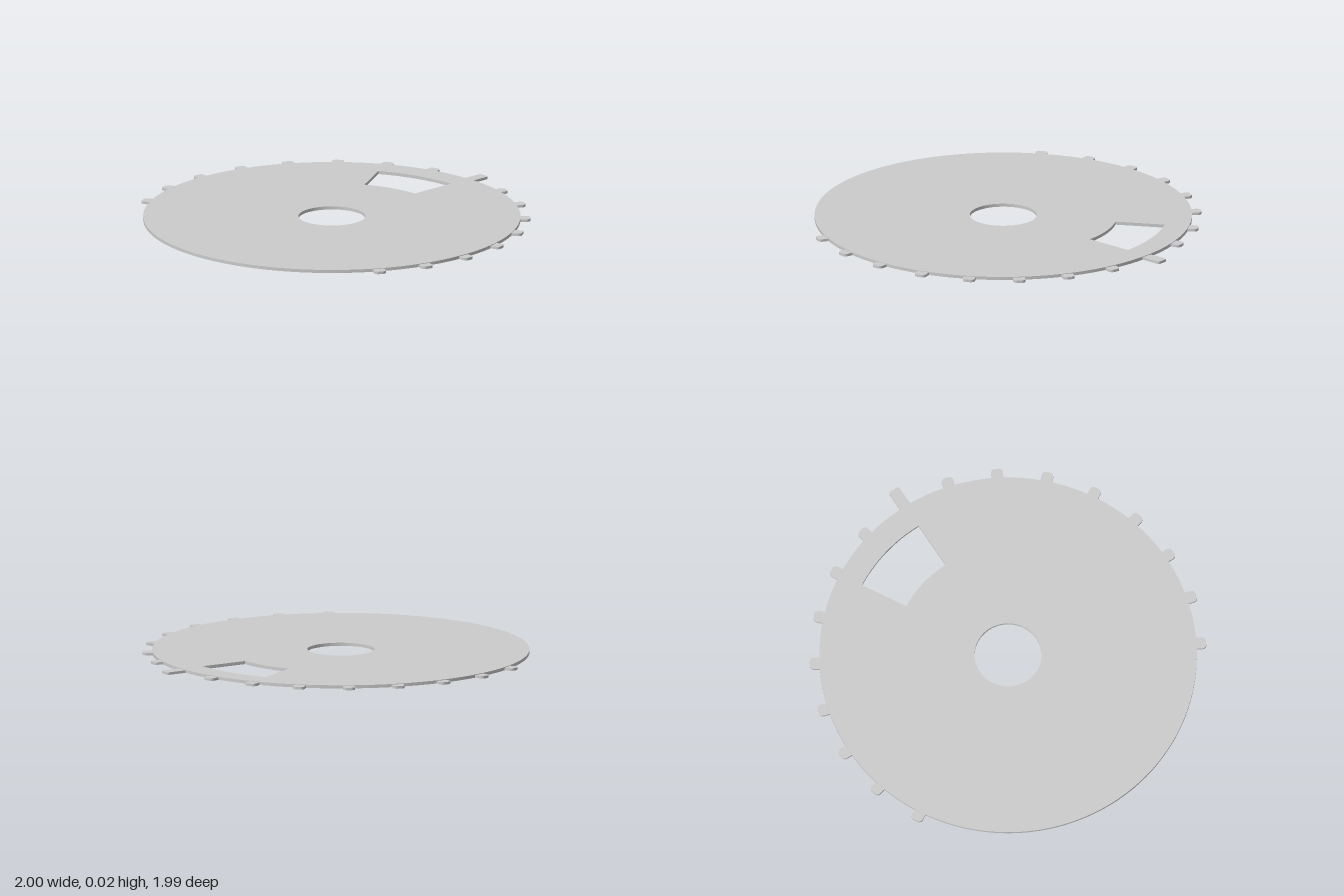
import * as THREE from 'three';

const CENTRE_X = -0.053; // disc axis, offset because of the long tooth
const RADIUS = 0.946;
const DISC_HEIGHT = 0.016;
const TOOTH_HEIGHT = 0.013;

const material = new THREE.MeshStandardMaterial({ color: 0xcccccc });

// Extrudes a plan outline upwards from y = 0 (shape +y becomes -z)
function plate(name, shape, height) {
  const geometry = new THREE.ExtrudeGeometry(shape, {
    depth: height, bevelEnabled: false, curveSegments: 128,
  });
  geometry.rotateX(-Math.PI / 2);
  const mesh = new THREE.Mesh(geometry, material);
  mesh.name = name;
  return mesh;
}

// Radial tooth along +x with rounded tip corners
function toothShape(inner, outer, width, r) {
  const h = width / 2;
  const s = new THREE.Shape();
  s.moveTo(inner, -h);
  s.lineTo(outer - r, -h);
  s.absarc(outer - r, -h + r, r, -Math.PI / 2, 0, false);
  s.absarc(outer - r, h - r, r, 0, Math.PI / 2, false);
  s.lineTo(inner, h);
  s.closePath();
  return s;
}

export function createModel() {
  const group = new THREE.Group();
  group.name = 'indexDisc';

  // Disc with a centre bore and a sector window
  const disc = new THREE.Shape();
  disc.absarc(0, 0, RADIUS, 0, Math.PI * 2, false);

  const bore = new THREE.Path();
  bore.absarc(0, 0, 0.168, 0, Math.PI * 2, true);

  const sector = new THREE.Path();
  sector.absarc(0, 0, 0.822, 0, Math.PI / 6, false);
  sector.absarc(0, 0, 0.572, Math.PI / 6, 0, true);
  sector.closePath();

  disc.holes.push(bore, sector);
  group.add(plate('disc', disc, DISC_HEIGHT));

  // Long index tooth
  group.add(plate('indexTooth', toothShape(0.92, 1.053, 0.06, 0.012), TOOTH_HEIGHT));

  // Short teeth, mirrored on both sides of the index tooth
  const step = THREE.MathUtils.degToRad(14.9);
  const short = toothShape(0.92, 0.995, 0.06, 0.02);
  for (const side of [1, -1]) {
    for (let i = 1; i <= 8; i++) {
      const tooth = plate('tooth', short, TOOTH_HEIGHT);
      tooth.rotation.y = side * i * step;
      group.add(tooth);
    }
  }

  // Shift the axis so the whole outline is centred
  for (const part of group.children) part.position.x = CENTRE_X;
  return group;
}
